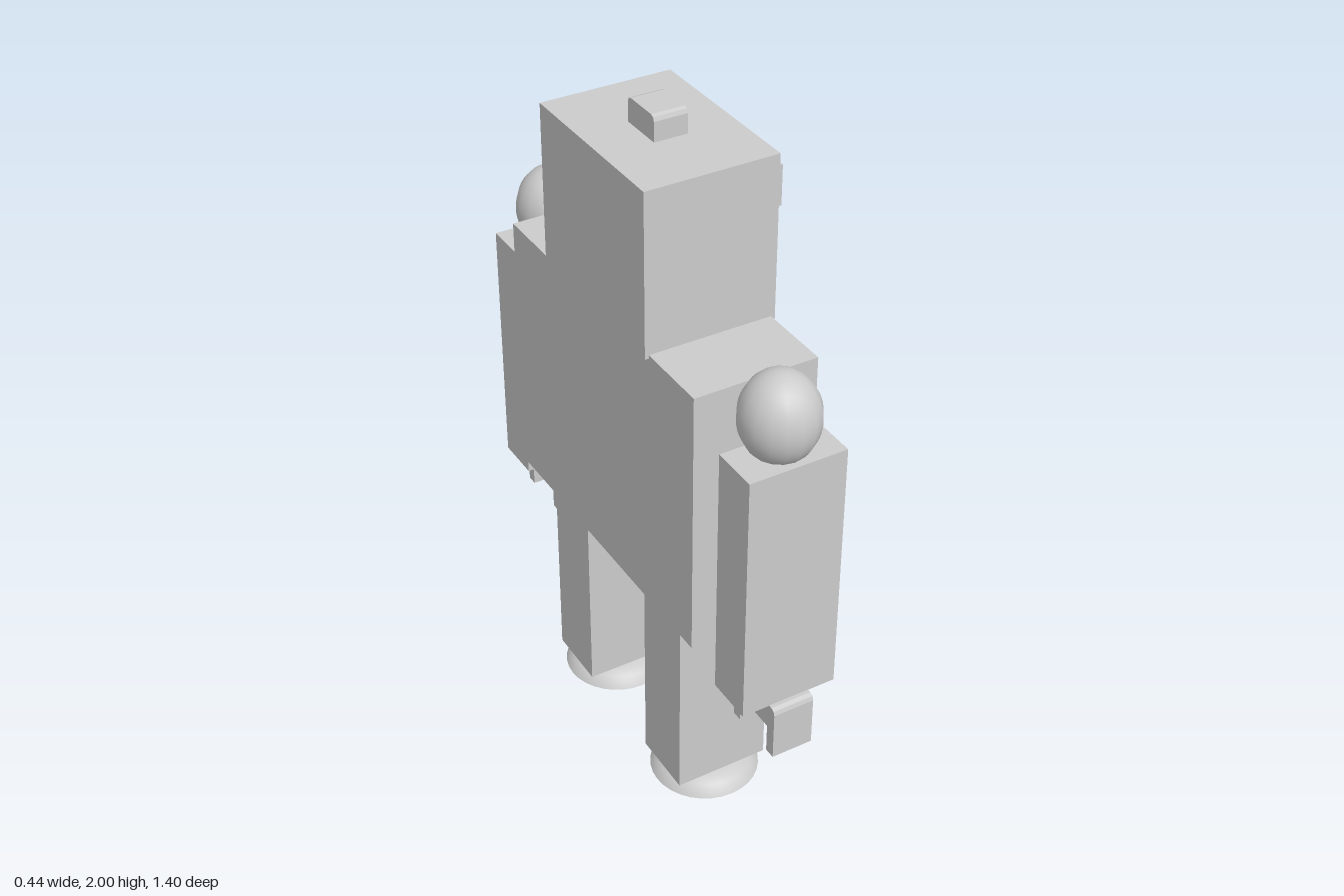
import * as THREE from 'three';

const AXIS_X = -0.034; // middle of the limbs, front to back
const grey = new THREE.MeshStandardMaterial({ color: 0xcccccc });
const greyOpen = new THREE.MeshStandardMaterial({ color: 0xcccccc, side: THREE.DoubleSide });

function add(parent, name, geometry, material = grey) {
  const mesh = new THREE.Mesh(geometry, material);
  mesh.name = name;
  parent.add(mesh);
  return mesh;
}

// Box from its [min, max] ranges
function box(parent, name, [x0, x1], [y0, y1], [z0, z1]) {
  const mesh = add(parent, name, new THREE.BoxGeometry(x1 - x0, y1 - y0, z1 - z0));
  mesh.position.set((x0 + x1) / 2, (y0 + y1) / 2, (z0 + z1) / 2);
  return mesh;
}

// Outline given as [z, y] points, extruded along x from x0 to x1
function plate(parent, name, outline, x0, x1) {
  const shape = new THREE.Shape(outline.map(([z, y]) => new THREE.Vector2(-z, y)));
  const geometry = new THREE.ExtrudeGeometry(shape, { depth: x1 - x0, bevelEnabled: false });
  geometry.rotateY(Math.PI / 2);
  geometry.translate(x0, 0, 0);
  return add(parent, name, geometry);
}

function createHead() {
  const head = new THREE.Group();
  head.name = 'head';
  box(head, 'skull', [-0.222, 0.155], [1.463, 1.93], [-0.263, 0.263]);
  // Knob with softened top corners
  plate(head, 'topKnob', [
    [-0.064, 1.93], [0.064, 1.93], [0.064, 1.985], [0.06, 1.996], [0.05, 2],
    [-0.05, 2], [-0.06, 1.996], [-0.064, 1.985],
  ], -0.08, 0.015);
  for (const s of [-1, 1]) {
    const eye = box(head, 'eye', [0.155, 0.22], [1.728, 1.843], [-0.059, 0.059]);
    eye.position.z = s * 0.118;
  }
  box(head, 'mouth', [0.155, 0.185], [1.545, 1.563], [-0.062, 0.062]);
  return head;
}

function createTorso() {
  const torso = new THREE.Group();
  torso.name = 'torso';
  box(torso, 'chest', [-0.211, 0.143], [0.682, 1.473], [-0.479, 0.479]);
  for (const y of [1.288, 1.127, 0.955]) {
    const disc = new THREE.CylinderGeometry(0.06, 0.06, 0.018, 32).rotateZ(-Math.PI / 2);
    add(torso, 'chestButton', disc).position.set(0.161, y, -0.272);
  }
  return torso;
}

function createArm(side) {
  const arm = new THREE.Group();
  arm.name = 'arm';
  const shoulder = add(arm, 'shoulder', new THREE.SphereGeometry(1, 16, 24));
  shoulder.scale.set(0.106, 0.126, 0.107);
  shoulder.position.set(AXIS_X, 1.425, side * 0.584);
  const limb = box(arm, 'armLimb', [-0.174, 0.106], [0.583, 1.333], [-0.069, 0.069]);
  limb.position.z = side * 0.607;
  // Claw hand with an open notch below
  const claw = plate(arm, 'clawHand', [
    [-0.097, 0.421], [-0.065, 0.421], [-0.065, 0.507], [0.065, 0.507], [0.065, 0.421],
    [0.097, 0.421], [0.097, 0.567], [0.093, 0.579], [0.082, 0.584],
    [-0.082, 0.584], [-0.093, 0.579], [-0.097, 0.567],
  ], -0.094, 0.026);
  claw.position.z = side * 0.605;
  return arm;
}

function createLeg(side) {
  const leg = new THREE.Group();
  leg.name = 'leg';
  const limb = box(leg, 'legLimb', [-0.174, 0.106], [0.05, 0.682], [-0.097, 0.097]);
  limb.position.z = side * 0.26;
  // Shallow hollow dome foot
  const profile = [[0.157, 0], [0.148, 0.016], [0.134, 0.031], [0.112, 0.046], [0.07, 0.054], [0, 0.057]];
  const dome = new THREE.LatheGeometry(profile.map(([r, y]) => new THREE.Vector2(r, y)), 32);
  add(leg, 'foot', dome, greyOpen).position.set(AXIS_X, 0, side * 0.26);
  return leg;
}

export function createModel() {
  const robot = new THREE.Group();
  robot.name = 'robot';
  robot.add(createHead(), createTorso());
  for (const side of [-1, 1]) robot.add(createArm(side), createLeg(side));
  return robot;
}
